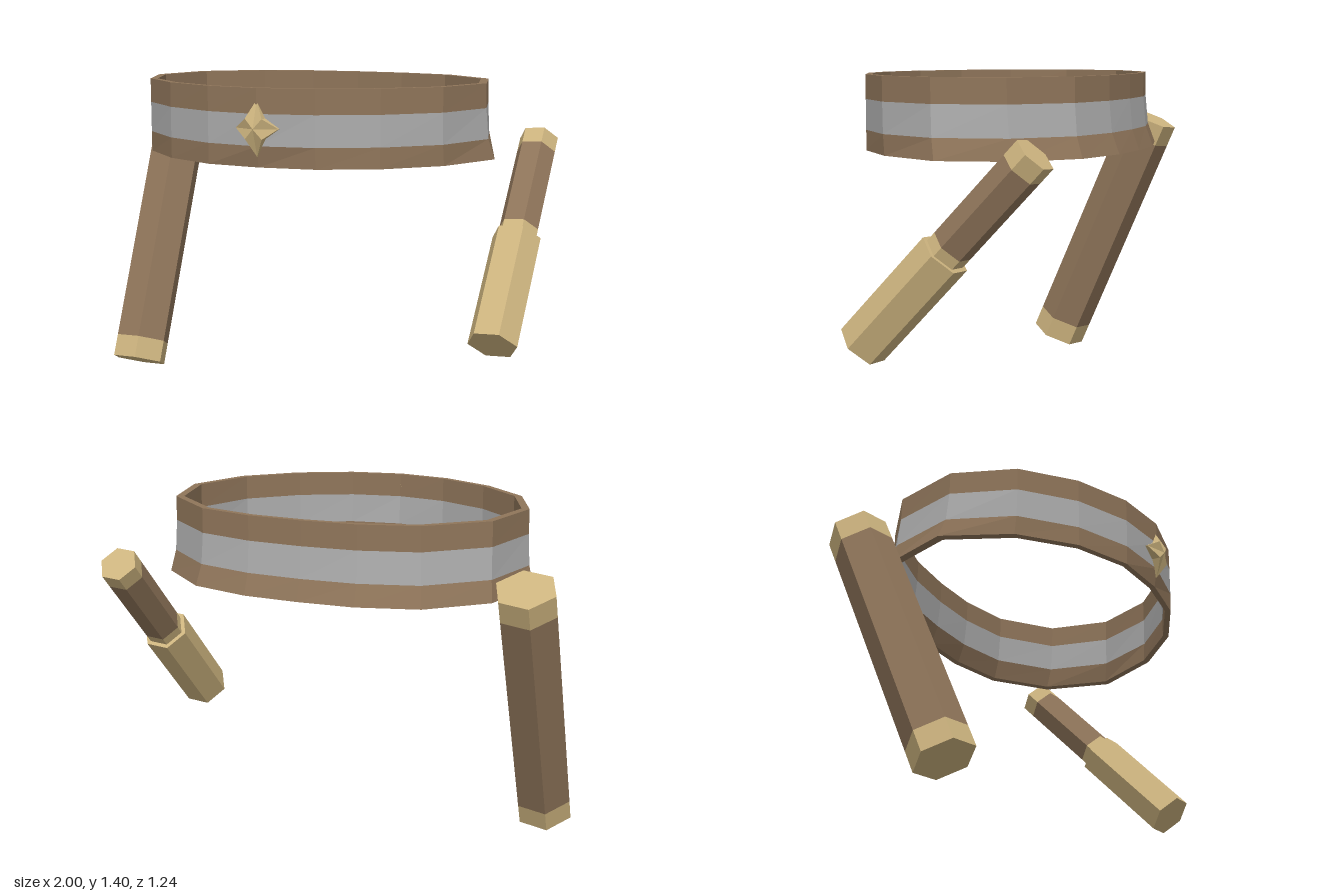
import * as THREE from 'three';

const mat = (name, color) => {
  const m = new THREE.MeshStandardMaterial({ color, flatShading: true });
  m.name = name;
  return m;
};

// Non-indexed geometry from a list of triangles
function fromTriangles(tris) {
  const g = new THREE.BufferGeometry();
  g.setAttribute('position', new THREE.Float32BufferAttribute(tris.flat(2), 3));
  g.computeVertexNormals();
  return g;
}

// Belt outline [x, z] from front to back, on the +x half, at the top and bottom edge
const TOP = [[0, 0.59], [0.235, 0.55], [0.47, 0.435], [0.67, 0.25], [0.775, -0.017], [0.705, -0.307], [0.475, -0.5], [0.235, -0.562], [0, -0.575]];
const BOTTOM = [[0, 0.57], [0.238, 0.545], [0.47, 0.435], [0.675, 0.24], [0.81, -0.045], [0.722, -0.348], [0.495, -0.542], [0.238, -0.61], [0, -0.62]];

// One closed ring of the belt: flare 0 = top outline, 1 = bottom outline
function beltRow({ y, flare, scale }) {
  const half = TOP.map(([x, z], i) => [
    THREE.MathUtils.lerp(x, BOTTOM[i][0], flare) * scale, y,
    THREE.MathUtils.lerp(z, BOTTOM[i][1], flare) * scale]);
  const mirrored = half.slice(1, -1).reverse().map(([x, yy, z]) => [-x, yy, z]);
  return [...half, ...mirrored];
}

function strip(a, b) {
  const tris = [];
  a.forEach((p, i) => {
    const j = (i + 1) % a.length;
    tris.push([p, a[j], b[j]], [p, b[j], b[i]]);
  });
  return tris;
}

function makeBelt(leather, silver) {
  const belt = new THREE.Group();
  belt.name = 'belt';
  const levels = [[1.088, 1], [1.175, 0.3], [1.305, 0.03], [1.408, 0]];
  const side = scale => levels.map(([y, flare]) => beltRow({ y, flare, scale }));
  const rows = [...side(1), ...side(0.956).reverse()];
  const brown = [], grey = [];
  rows.forEach((row, i) => {
    const target = i === 1 || i === 5 ? grey : brown;
    target.push(...strip(row, rows[(i + 1) % rows.length]));
  });
  [['beltLeather', brown, leather], ['beltBand', grey, silver]].forEach(([name, tris, m]) => {
    const mesh = new THREE.Mesh(fromTriangles(tris), m);
    mesh.name = name;
    belt.add(mesh);
  });
  return belt;
}

// Four-pointed star buckle with a raised centre
function makeBuckle(gold) {
  const tris = [], n = 8;
  const point = (i, z) => {
    const a = i * Math.PI / 4;
    const tip = i % 2 === 0;
    const rx = tip ? 0.094 : 0.052, ry = tip ? 0.115 : 0.058;
    return [Math.cos(a) * rx, Math.sin(a) * ry, z ?? (tip ? 0 : 0.036)];
  };
  for (let i = 0; i < n; i++) {
    const p = point(i), q = point(i + 1);
    tris.push([[0, 0, 0.042], p, q]);
    // side wall back to the belt
    const p0 = point(i, -0.02), q0 = point(i + 1, -0.02);
    tris.push([p, p0, q0], [p, q0, q]);
  }
  const mesh = new THREE.Mesh(fromTriangles(tris), gold);
  mesh.name = 'buckle';
  mesh.position.set(0, 1.247, 0.582);
  return mesh;
}

// Stack of six-sided sections [name, radius, length, material] along a tilted axis
function makeRod(name, sections, { position, tilt, twist }) {
  const rod = new THREE.Group();
  rod.name = name;
  let y = 0;
  for (const [part, radius, length, material] of sections) {
    const g = new THREE.CylinderGeometry(radius, radius, length, 6, 1, false, twist);
    const mesh = new THREE.Mesh(g, material);
    mesh.name = part;
    mesh.position.y = y + length / 2;
    y += length;
    rod.add(mesh);
  }
  rod.position.set(...position);
  rod.rotation.x = -tilt;
  return rod;
}

export function createModel() {
  const leather = mat('brown leather', 0x8f755a);
  const gold = mat('pale gold', 0xcdb47f);
  const silver = mat('silver grey', 0xadadad);
  const rad = THREE.MathUtils.degToRad;

  const model = new THREE.Group();
  model.name = 'beltWithScabbards';
  model.add(makeBelt(leather, silver), makeBuckle(gold));

  // Long scabbard hanging at the right hip
  model.add(makeRod('scabbard', [
    ['scabbardTip', 0.128, 0.1, gold],
    ['scabbardBody', 0.128, 1.015, leather],
    ['scabbardMouth', 0.128, 0.1, gold],
  ], { position: [-0.873, 0.055, 0.065], tilt: rad(23), twist: rad(19) }));

  // Short sheathed blade at the left hip
  model.add(makeRod('dagger', [
    ['daggerSheath', 0.107, 0.53, gold],
    ['daggerCollar', 0.087, 0.045, gold],
    ['daggerGrip', 0.087, 0.415, leather],
    ['daggerPommel', 0.087, 0.077, gold],
  ], { position: [0.892, 0.357, 0.231], tilt: rad(43.2), twist: rad(25) }));

  return model;
}
